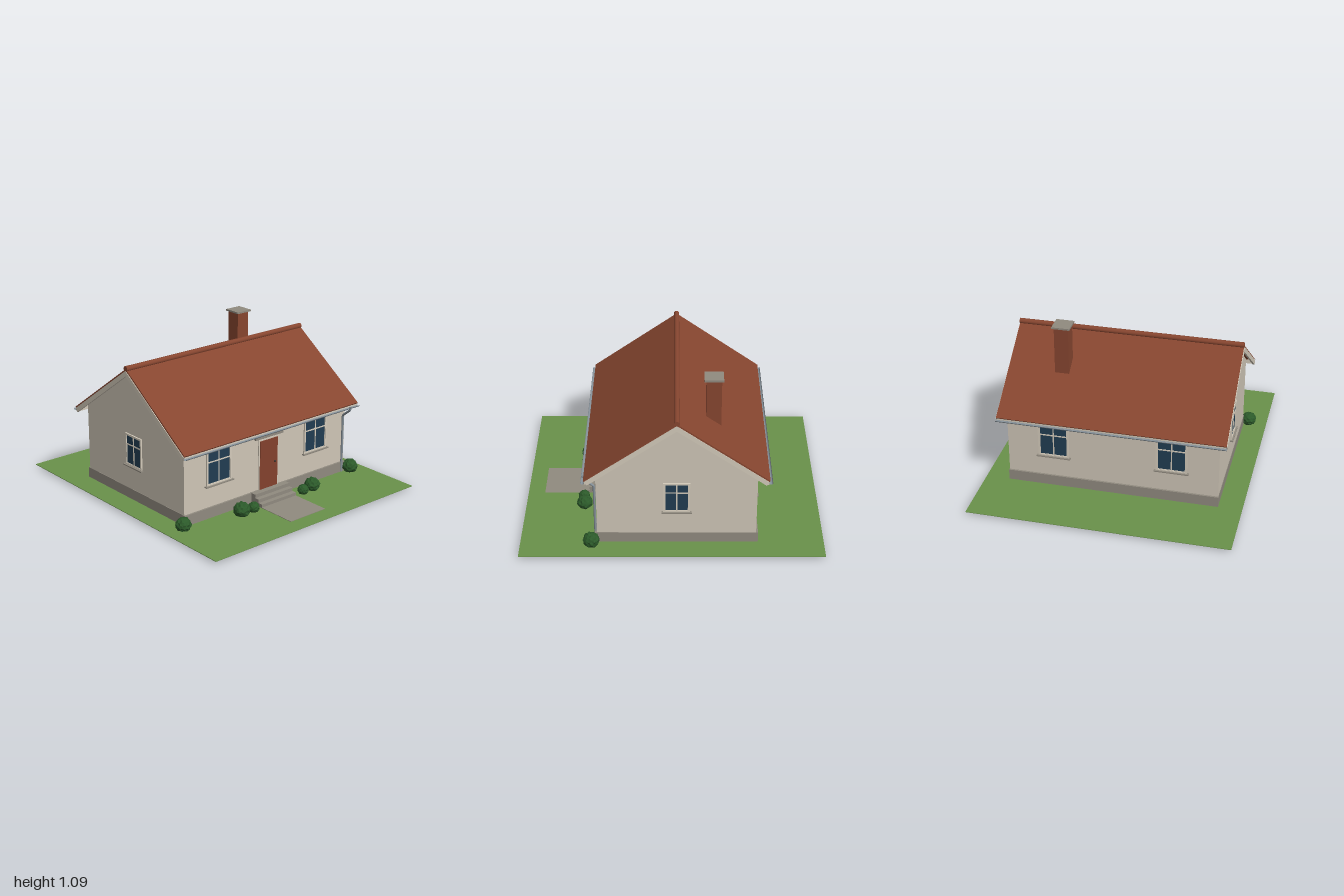
import * as THREE from 'three';

const mat = (name, color, extra = {}) => {
  const m = new THREE.MeshStandardMaterial({ color, ...extra });
  m.name = name;
  return m;
};

export function createModel() {
  const grass = mat('grass', 0x6a924b);
  const plaster = mat('plaster', 0xcfc6b7);
  const trim = mat('trim', 0xd4cbbb);
  const stone = mat('stone', 0x918b80);
  const tile = mat('roofTile', 0x874630);
  const doorRed = mat('doorRed', 0x84412d);
  const glass = mat('glass', 0x213d52);
  const metal = mat('metal', 0x87929a, { side: THREE.DoubleSide });
  const leaf = mat('leaf', 0x2c5a2a, { flatShading: true });
  const dark = mat('knob', 0x3a3632);

  const model = new THREE.Group();
  model.name = 'cottage';
  const add = (parent, name, geo, material, x = 0, y = 0, z = 0) => {
    const m = new THREE.Mesh(geo, material);
    m.name = name;
    m.position.set(x, y, z);
    parent.add(m);
    return m;
  };
  // box given by its lower and upper limits
  const box = (parent, name, material, x0, x1, y0, y1, z0, z1) =>
    add(parent, name, new THREE.BoxGeometry(x1 - x0, y1 - y0, z1 - z0), material,
      (x0 + x1) / 2, (y0 + y1) / 2, (z0 + z1) / 2);
  const shapeOf = pts => new THREE.Shape(pts.map(p => new THREE.Vector2(p[0], p[1])));
  // z-y cross-section swept along x, from x0 to x1
  const sweepX = (pts, x0, x1) => {
    const g = new THREE.ExtrudeGeometry(shapeOf(pts), { depth: x1 - x0, bevelEnabled: false });
    return g.rotateY(-Math.PI / 2).translate(x1, 0, 0);
  };

  // Lawn
  box(model, 'lawn', grass, -0.88, 0.88, 0.018, 0.022, -1, 1);

  // House body, centred on its own ridge line
  const house = new THREE.Group();
  house.name = 'house';
  house.position.z = -0.03;
  model.add(house);
  const W = 0.716, D = 0.522, RIDGE = 0.957, SLOPE = 0.705;
  const roofY = d => RIDGE - SLOPE * d;
  box(house, 'foundation', stone, -W - 0.003, W + 0.003, 0.02, 0.095, -D - 0.013, D + 0.013);
  const wallTop = roofY(D) - 0.02;
  add(house, 'walls', sweepX([[-D, 0.095], [D, 0.095], [D, wallTop], [0, RIDGE - 0.02], [-D, wallTop]], -W, W), plaster);

  // Roof: tile chevron, gable boards, ridge
  const chevron = (top, bottom, dTop, dBottom) => [
    [-dTop, roofY(dTop) - top], [-dBottom, roofY(dBottom) - bottom], [0, RIDGE - bottom],
    [dBottom, roofY(dBottom) - bottom], [dTop, roofY(dTop) - top], [0, RIDGE - top]];
  add(house, 'roof', sweepX(chevron(0, 0.014, 0.597, 0.59), -0.768, 0.768), tile);
  const ridge = add(house, 'ridgeTile', new THREE.CylinderGeometry(0.019, 0.019, 1.54, 16), tile, 0, 0.957, 0);
  ridge.rotation.z = Math.PI / 2;
  for (const s of [-1, 1]) {
    const x = s * 0.765;
    add(house, 'gableBoard', sweepX(chevron(0.012, 0.05, 0.591, 0.573), x - 0.007, x + 0.007), trim);
    // Eaves: fascia and half-round gutter
    const z = s * 0.583;
    box(house, 'fascia', trim, -0.765, 0.765, 0.505, 0.533, z - 0.008, z + 0.008);
    const gutter = new THREE.CylinderGeometry(0.012, 0.012, 1.54, 12, 1, true, Math.PI, Math.PI);
    gutter.rotateZ(Math.PI / 2);
    add(house, 'gutter', gutter, metal, 0, 0.522, s * 0.602);
  }

  // Downpipe
  const path = new THREE.CurvePath();
  const bends = [[0.52, 0.602], [0.5, 0.602], [0.445, 0.534], [0.022, 0.534]]
    .map(([y, z]) => new THREE.Vector3(0.69, y, z));
  for (let i = 0; i < 3; i++) path.add(new THREE.LineCurve3(bends[i], bends[i + 1]));
  add(house, 'downpipe', new THREE.TubeGeometry(path, 60, 0.008, 8), metal);

  // Chimney
  box(house, 'chimney', tile, 0.349, 0.446, 0.7, 1.082, -0.289, -0.19);
  box(house, 'chimneyCap', stone, 0.337, 0.459, 1.081, 1.093, -0.301, -0.177);

  // Rectangular ring lying in the x-y plane
  const ring = (w, h, t, depth) => {
    const r = (a, b) => [[-a, -b], [a, -b], [a, b], [-a, b]];
    const s = shapeOf(r(w / 2, h / 2));
    s.holes.push(shapeOf(r(w / 2 - t, h / 2 - t)));
    return new THREE.ExtrudeGeometry(s, { depth, bevelEnabled: false });
  };
  // Window facing +z, set on a wall at the given turn and offset
  const addWindow = (along, y0, y1, w, out, turn) => {
    const g = new THREE.Group();
    g.name = 'window';
    const h = y1 - y0;
    add(g, 'windowSurround', ring(w, h, 0.011, 0.01), trim);
    add(g, 'windowFrame', ring(w - 0.02, h - 0.02, 0.005, 0.007), trim);
    add(g, 'windowGlass', new THREE.BoxGeometry(w - 0.02, h - 0.02, 0.006), glass);
    add(g, 'mullion', new THREE.BoxGeometry(0.008, h - 0.02, 0.006), trim, 0, 0, 0.004);
    add(g, 'transom', new THREE.BoxGeometry(w - 0.02, 0.008, 0.006), trim, 0, h * 0.165, 0.004);
    add(g, 'windowSill', new THREE.BoxGeometry(w + 0.022, 0.008, 0.022), stone, 0, -h / 2, 0.011);
    g.position.set(along, (y0 + y1) / 2, out);
    const pivot = new THREE.Group();
    pivot.name = 'windowMount';
    pivot.rotation.y = turn;
    pivot.add(g);
    house.add(pivot);
  };
  for (const s of [-1, 1]) {
    addWindow(s * 0.431, 0.244, 0.488, 0.21, D, 0);
    addWindow(s * 0.4, 0.244, 0.488, 0.21, D, Math.PI);
    addWindow(0, 0.262, 0.486, 0.174, W, s * Math.PI / 2);
  }

  // Door with frame, lintel and knob
  box(house, 'doorFrame', trim, -0.088, 0.088, 0.095, 0.45, D - 0.01, D + 0.006);
  box(house, 'door', doorRed, -0.078, 0.078, 0.095, 0.44, D - 0.01, D + 0.01);
  box(house, 'doorLintel', stone, -0.122, 0.122, 0.458, 0.483, D - 0.01, D + 0.016);
  add(house, 'doorKnob', new THREE.SphereGeometry(0.007, 10, 8), dark, 0.053, 0.272, D + 0.014);

  // Steps and path
  for (let i = 0; i < 3; i++)
    box(model, 'step', stone, -0.154, 0.154, 0.02, 0.047 + i * 0.0245, 0.49, 0.607 - i * 0.033);
  box(model, 'gardenPath', stone, -0.154, 0.154, 0.02, 0.025, 0.6, 0.885);

  // Bushes: knobbly low-poly balls
  const bush = (x, y, z, r, seed) => {
    const g = new THREE.IcosahedronGeometry(r, 3), p = g.attributes.position, v = new THREE.Vector3();
    for (let i = 0; i < p.count; i++) {
      v.fromBufferAttribute(p, i);
      const a = v.clone().multiplyScalar(9 / r);
      const n = Math.sin(a.x + seed) * Math.sin(a.y + 2 * seed) * Math.sin(a.z + 3 * seed);
      v.multiplyScalar(0.95 + 0.13 * n);
      p.setXYZ(i, v.x, v.y * 0.93, v.z);
    }
    g.computeVertexNormals();
    add(model, 'bush', g, leaf, x, y, z);
  };
  [[-0.753, 0.058, 0.53, 0.054], [-0.32, 0.056, 0.597, 0.058], [-0.226, 0.05, 0.607, 0.041],
    [0.222, 0.05, 0.607, 0.04], [0.316, 0.058, 0.597, 0.055], [0.748, 0.058, 0.53, 0.057]]
    .forEach(([x, y, z, r], i) => bush(x, y, z, r, i + 1));

  return model;
}
